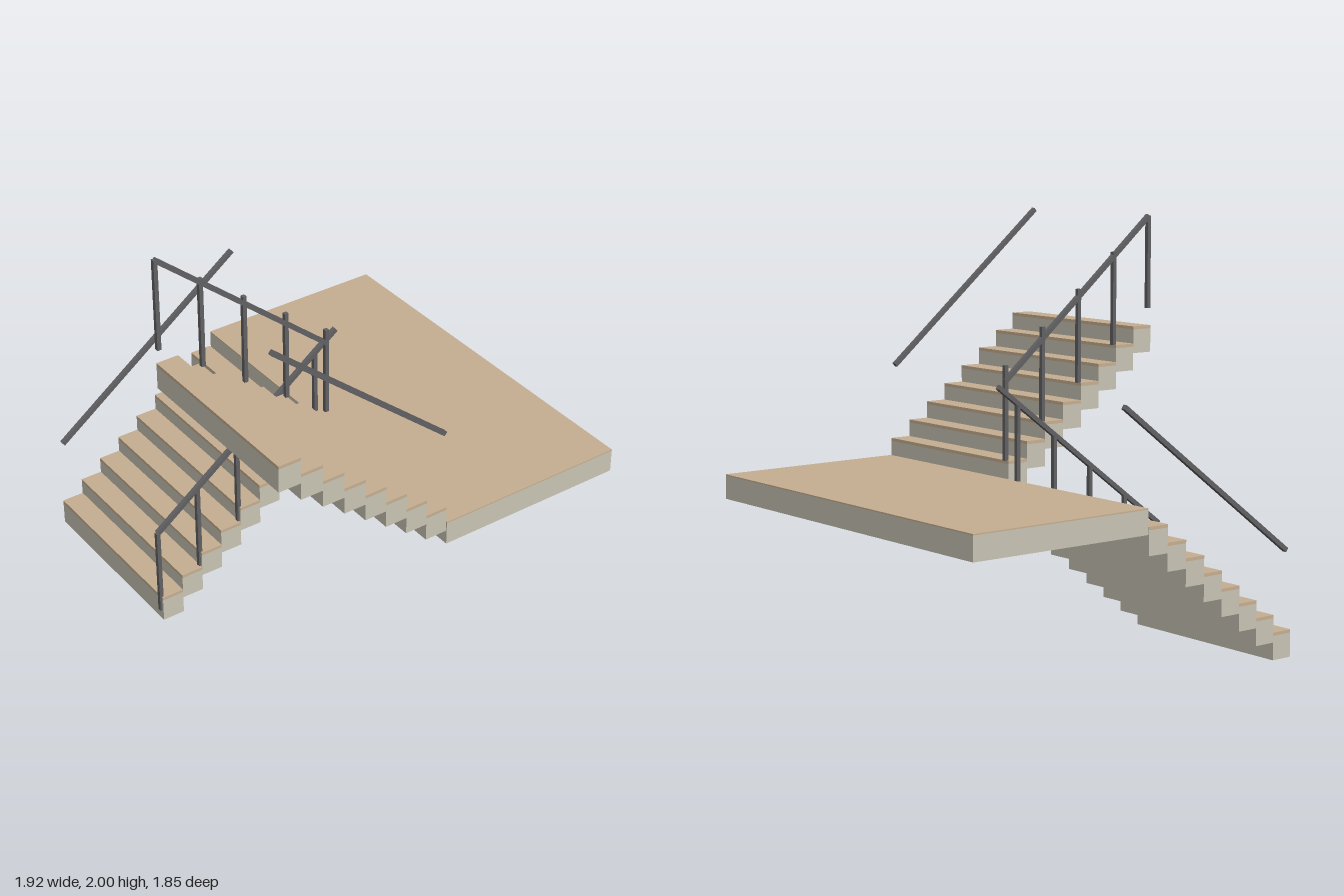
import * as THREE from 'three';

const concrete = new THREE.MeshStandardMaterial({ color: 0xcac5b5 });
concrete.name = 'concrete';
const wood = new THREE.MeshStandardMaterial({ color: 0xc7b092 });
wood.name = 'wood';
const steel = new THREE.MeshStandardMaterial({ color: 0x626264 });
steel.name = 'steel';

const STEPS = 8, RUN = 0.11, RISE = 0.0832, STEP_H = 0.13, TREAD = 0.015;
const Z_BACK = 0.035, Z_FRONT = Z_BACK + STEPS * RUN, BAR = 0.022;

// Box given by its minimum and maximum corners
function block(name, material, [x0, y0, z0], [x1, y1, z1]) {
  const mesh = new THREE.Mesh(new THREE.BoxGeometry(x1 - x0, y1 - y0, z1 - z0), material);
  mesh.position.set((x0 + x1) / 2, (y0 + y1) / 2, (z0 + z1) / 2);
  mesh.name = name;
  return mesh;
}

// Concrete slab with a wooden covering
function slab(name, x0, x1, y0, y1, z0, z1, cover) {
  const group = new THREE.Group();
  group.name = name;
  group.add(
    block('concreteBody', concrete, [x0, y0, z0], [x1, y1 - cover, z1]),
    block('woodCover', wood, [x0, y1 - cover, z0], [x1, y1, z1])
  );
  return group;
}

// Sloping square bar between two (y, z) points
function handrail(name, x, [y0, z0], [y1, z1]) {
  const mesh = new THREE.Mesh(
    new THREE.BoxGeometry(BAR, BAR, Math.hypot(y1 - y0, z1 - z0)), steel);
  mesh.position.set(x, (y0 + y1) / 2, (z0 + z1) / 2);
  mesh.rotation.x = Math.atan2(y1 - y0, z0 - z1);
  mesh.name = name;
  return mesh;
}

// Flight of steps; direction +1 climbs to the back, -1 climbs to the front
function flight(name, x0, x1, base, direction) {
  const group = new THREE.Group();
  group.name = name;
  for (let i = 0; i < STEPS; i++) {
    const z = direction > 0 ? Z_FRONT - (i + 1) * RUN : Z_BACK + i * RUN;
    const y = base + i * RISE;
    group.add(slab('step', x0, x1, y, y + STEP_H, z, z + RUN, TREAD));
  }
  return group;
}

// Row of posts on every second step, from front to back
function posts(x, bottom, rise, height) {
  const group = new THREE.Group();
  group.name = 'railPosts';
  const h = BAR * 0.45;
  for (let i = 0; i < 5; i++) {
    const z = Z_FRONT - i * 2 * RUN, y = bottom + i * rise;
    group.add(block('post', steel, [x - h, y, z - h], [x + h, y + height, z + h]));
  }
  return group;
}

export function createModel() {
  const model = new THREE.Group();
  model.name = 'staircase';

  model.add(slab('landing', -0.96, 0.957, 0.677, 0.795, -0.927, 0.03, 0.006));
  model.add(flight('lowerFlight', -0.96, -0.027, 0, 1));
  model.add(flight('upperFlight', 0.02, 0.957, 0.75, -1));

  // Lower railings: posts on the inner side only
  for (const x of [-0.92, -0.047])
    model.add(handrail('lowerHandrail', x, [0.497, 0.915], [1.242, -0.08]));
  model.add(posts(-0.047, 0.05, 2 * RISE, 0.447));

  // Upper railings
  for (const x of [0.043, 0.917])
    model.add(handrail('upperHandrail', x, [1.99, 0.915], [1.25, 0.03]));
  model.add(posts(0.043, 1.545, -2 * RISE, 0.447));

  return model;
}
